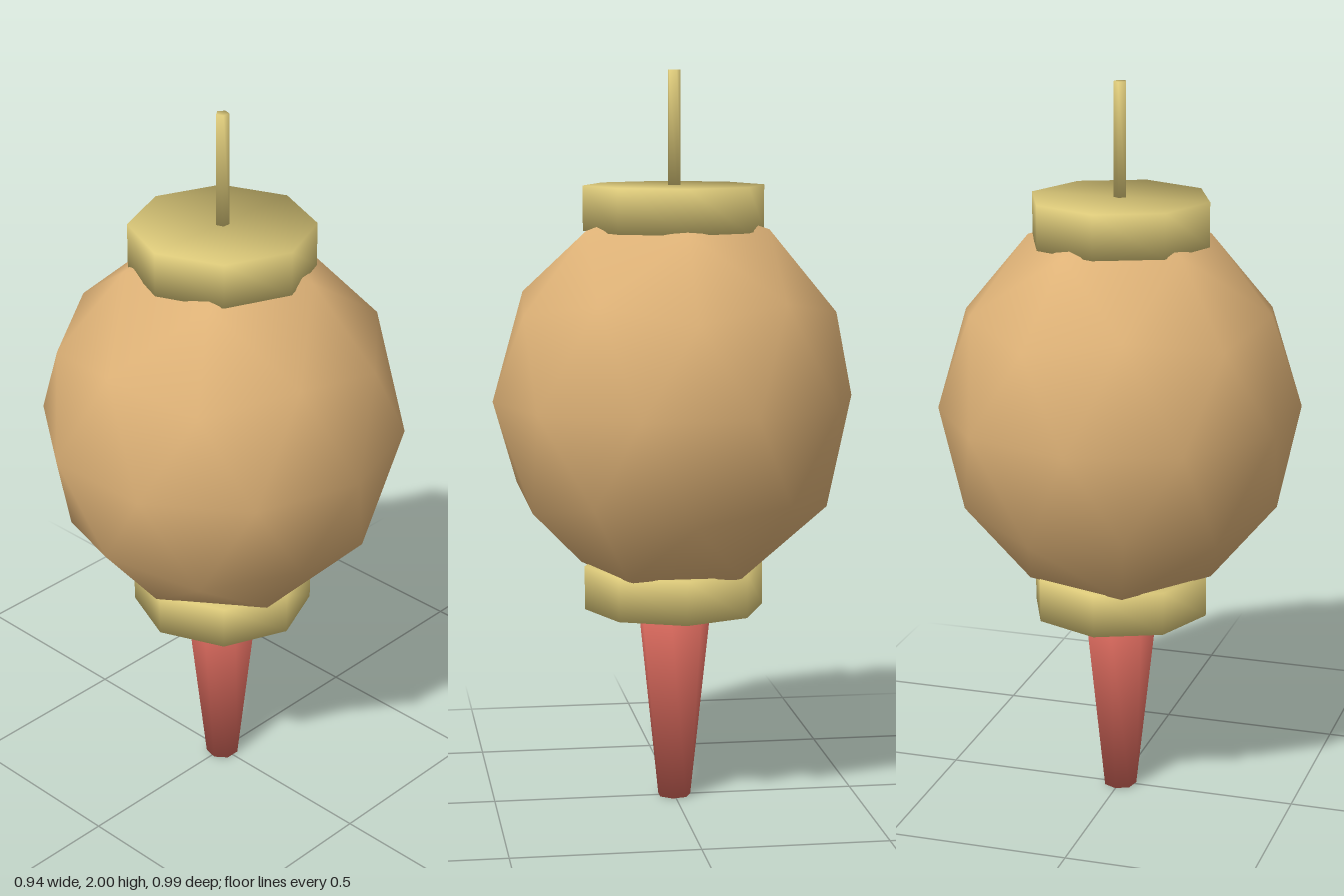
import * as THREE from 'three';

const material = (name, color) => {
  const m = new THREE.MeshStandardMaterial({ color });
  m.name = name;
  return m;
};

// Closed, tapering prism with soft normals; its first corner points to -z.
function prism(sides, rBottom, rTop, y0, y1) {
  const corners = [];
  for (let i = 0; i < sides; i++) {
    const a = Math.PI / 2 + (i / sides) * Math.PI * 2;
    corners.push(new THREE.Vector2(Math.cos(a), Math.sin(a)));
  }
  const geo = new THREE.ExtrudeGeometry(new THREE.Shape(corners), { depth: 1, bevelEnabled: false });
  geo.rotateX(-Math.PI / 2);
  const pos = geo.attributes.position;
  const normal = new THREE.Vector3();
  for (let i = 0; i < pos.count; i++) {
    const top = pos.getY(i) > 0.5;
    const r = top ? rTop : rBottom;
    const x = pos.getX(i), z = pos.getZ(i);
    pos.setXYZ(i, x * r, top ? y1 : y0, z * r);
    // rounded shading across the rim
    normal.set(x * 1.23, top ? 1 : -1, z * 1.23).normalize();
    geo.attributes.normal.setXYZ(i, normal.x, normal.y, normal.z);
  }
  return geo;
}

export function createModel() {
  const group = new THREE.Group();
  const paper = material('tan paper', 0xdeb277);
  const brass = material('pale gold', 0xddca7a);
  const red = material('tassel red', 0xd3665a);

  const add = (name, geometry, mat) => {
    const mesh = new THREE.Mesh(geometry, mat);
    mesh.name = name;
    group.add(mesh);
  };

  // Lantern globe: low-poly sphere with a corner at each pole
  const globe = new THREE.IcosahedronGeometry(1, 1);
  globe.rotateX(-Math.atan((1 + Math.sqrt(5)) / 2));
  globe.rotateY(Math.PI / 2);
  globe.scale(0.494, 0.544, 0.494);
  globe.translate(0, 1.114, 0);
  add('globe', globe, paper);

  // Octagonal caps above and below
  add('topCap', prism(8, 0.247, 0.247, 1.572, 1.693), brass);
  add('bottomCap', prism(8, 0.247, 0.247, 0.535, 0.655), brass);

  // Hanging rod and tassel
  add('hangingRod', prism(5, 0.018, 0.018, 1.69, 2), brass);
  add('tassel', prism(7, 0.046, 0.104, 0, 0.537), red);

  return group;
}
